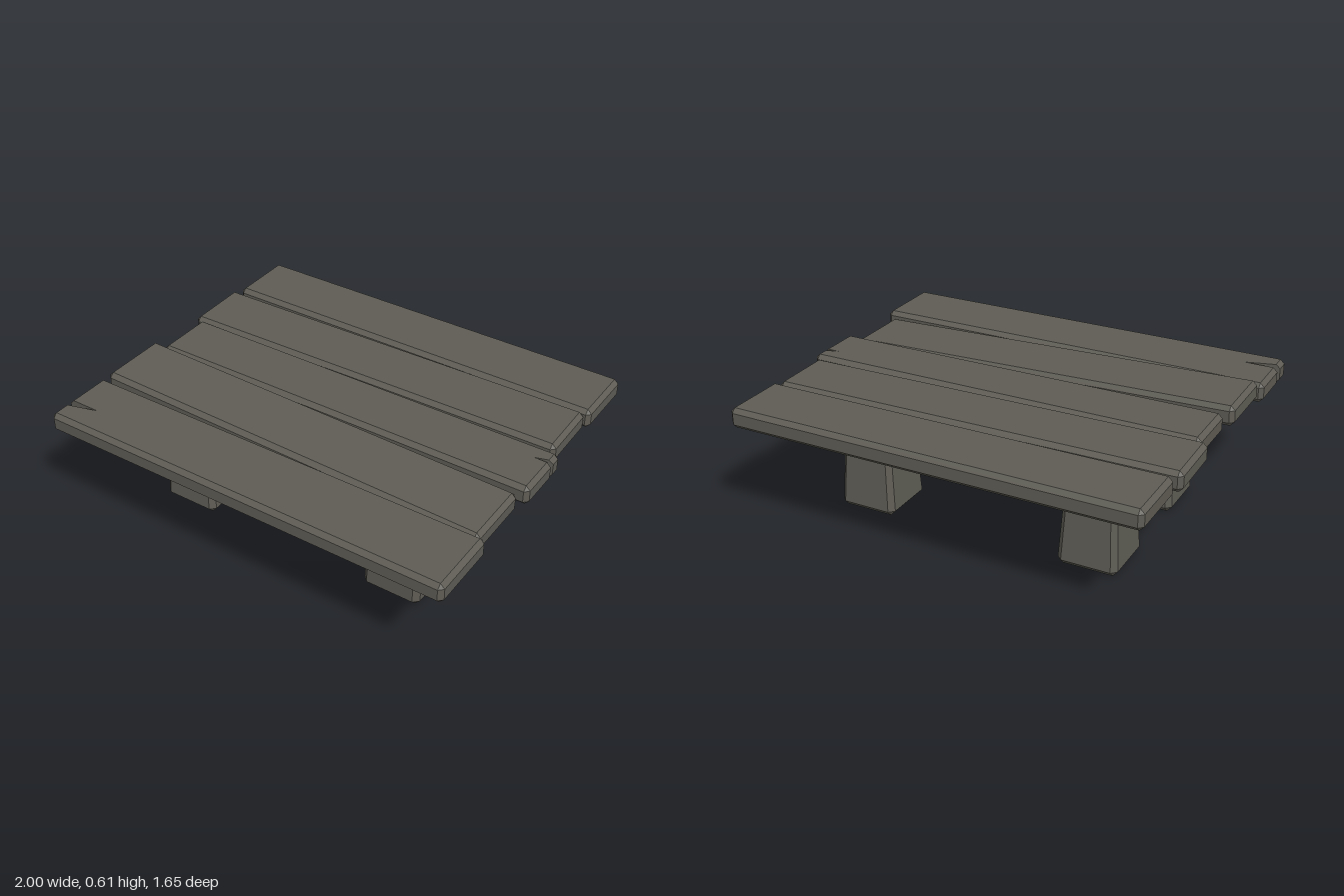
import * as THREE from 'three';
import { ConvexGeometry } from 'three/addons/geometries/ConvexGeometry.js';

const V = (x, y, z) => new THREE.Vector3(x, y, z);
const wood = new THREE.MeshStandardMaterial({ color: 0x5e5c54, flatShading: true });

// Corner points of a box with every edge chamfered by c
function chamferedBox(w, h, d, c) {
  const pts = [];
  for (const sx of [-1, 1]) for (const sy of [-1, 1]) for (const sz of [-1, 1]) {
    const x = w / 2, y = h / 2, z = d / 2;
    pts.push(
      V(sx * x, sy * (y - c), sz * (z - c)),
      V(sx * (x - c), sy * y, sz * (z - c)),
      V(sx * (x - c), sy * (y - c), sz * z));
  }
  return pts;
}

// Keep the part of a convex solid in front of a plane
function clip(pts, plane) {
  const inside = pts.filter(p => plane.distanceToPoint(p) >= 0);
  const outside = pts.filter(p => plane.distanceToPoint(p) < 0);
  const cut = [];
  for (const p of inside) for (const q of outside) {
    const a = plane.distanceToPoint(p), b = plane.distanceToPoint(q);
    cut.push(p.clone().lerp(q, a / (a - b)));
  }
  return [...inside, ...cut];
}

// Plane through p, q, r whose front side holds the point "toward"
function planeFacing(p, q, r, toward) {
  const plane = new THREE.Plane().setFromCoplanarPoints(p, q, r);
  return plane.distanceToPoint(toward) < 0 ? plane.negate() : plane;
}

// Split a solid into two pieces that leave a wedge open: tip line p-q, mouth a-b
function notch(pts, [p, q, a, b]) {
  const towardB = planeFacing(p, q, a, b);
  const awayFromA = planeFacing(p, q, b, a).negate();
  const first = clip(pts, towardB.clone().negate());
  return [first, clip(clip(pts, towardB), awayFromA)];
}

function part(name, pts, wedge) {
  const group = new THREE.Group();
  group.name = name;
  for (const piece of wedge ? notch(pts, wedge) : [pts]) {
    const mesh = new THREE.Mesh(new ConvexGeometry(piece), wood);
    mesh.name = name;
    group.add(mesh);
  }
  return group;
}

// Upright wedge for a plank: tip and two mouth points, each as [x, z]
const plankWedge = (tip, a, b) =>
  [V(tip[0], -1, tip[1]), V(tip[0], 1, tip[1]), V(a[0], 0, a[1]), V(b[0], 0, b[1])];

export function createModel() {
  const model = new THREE.Group();
  model.name = 'plankTable';

  // Table top: five uneven planks, two of them skewed and two split at an end
  const planks = [
    { x: [-0.96, 0.98], z: [-0.83, -0.505] },
    { x: [-0.98, 0.96], z: [-0.493, -0.178], yaw: 0.013 },
    { x: [-0.94, 1], z: [-0.17, 0.126], split: [[0.92, -0.082], [1, -0.082], [1, -0.106]] },
    { x: [-0.98, 0.96], z: [0.133, 0.47], tilt: -0.026 },
    { x: [-1, 1], z: [0.477, 0.822], split: [[-0.84, 0.692], [-1, 0.692], [-1, 0.737]] },
  ];
  planks.forEach(({ x, z, yaw = 0, tilt = 0, split }, i) => {
    const cx = (x[0] + x[1]) / 2, cz = (z[0] + z[1]) / 2;
    const wedge = split && plankWedge(...split.map(([px, pz]) => [px - cx, pz - cz]));
    const plank = part('plank' + (i + 1),
      chamferedBox(x[1] - x[0], 0.095, z[1] - z[0], 0.02), wedge);
    plank.position.set(cx, 0.5375, cz);
    plank.rotation.set(0, yaw, tilt);
    model.add(plank);
  });

  for (const [side, beamX, legX] of [['left', 0.54, 0.543], ['right', -0.567, -0.567]]) {
    // Cross beam under the planks
    const beam = part(side + 'CrossBeam', chamferedBox(0.325, 0.095, 1.16, 0.02));
    beam.position.set(beamX, 0.4425, -0.01);
    model.add(beam);

    // Tapered legs; the chipped one keeps its outer faces upright
    for (const [end, legZ] of [['Front', 0.302], ['Back', -0.32]]) {
      const chipped = side === 'left' && end === 'Front';
      const pts = chamferedBox(0.285, 0.46, 0.288, 0.025);
      for (const p of pts) {
        const t = (p.y + 0.23) / 0.46;
        if (!chipped || p.x < 0) p.x *= 1 - 0.19 * t;
        if (!chipped || p.z < 0) p.z *= 1 - 0.19 * t;
        p.y += 0.23;
      }
      const chip = chipped && [V(0.01, 0.315, 0.144), V(0.142, 0.34, 0.083),
        V(0.142, 0.322, 0.144), V(0.142, 0.37, 0.144)];
      const leg = part(side + end + 'Leg', pts, chip);
      leg.position.set(legX, 0, legZ);
      model.add(leg);
    }
  }
  return model;
}
